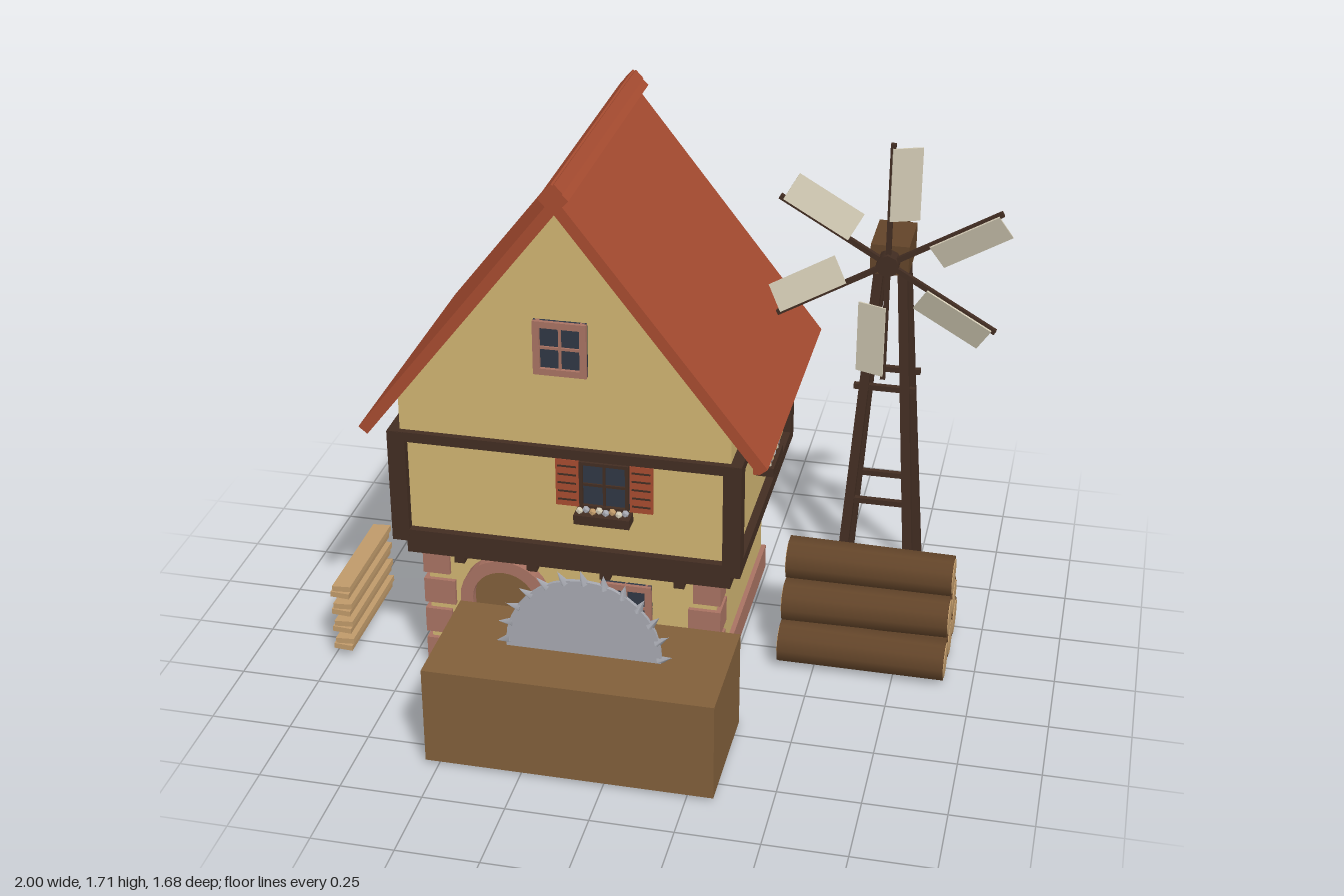
import * as THREE from 'three';

const mat = (name, color) => Object.assign(new THREE.MeshStandardMaterial({ color }), { name });
const M = {
  wall: mat('plaster', 0xcfb471), beam: mat('dark timber', 0x422d22), roof: mat('red tile', 0xa64b30),
  stone: mat('pink stone', 0xa87262), wood: mat('brown wood', 0x815f3a), tan: mat('cut wood', 0xc09a6a),
  sail: mat('canvas', 0xd0c8b2), steel: mat('steel', 0xa6a8b0), glass: mat('dark glass', 0x2f3744),
  bark: mat('bark', 0x624429),
};
const CX = -0.225, CZ = -0.075; // middle of the house

function add(parent, name, geo, material, x = 0, y = 0, z = 0) {
  const m = new THREE.Mesh(geo, material);
  m.name = name;
  m.position.set(x, y, z);
  parent.add(m);
  return m;
}
// box given by its lower and upper corners
function span(parent, name, material, x0, x1, y0, y1, z0, z1) {
  return add(parent, name, new THREE.BoxGeometry(x1 - x0, y1 - y0, z1 - z0), material,
    (x0 + x1) / 2, (y0 + y1) / 2, (z0 + z1) / 2);
}
// square bar between two points
function bar(parent, name, material, a, b, t) {
  const A = new THREE.Vector3(...a), B = new THREE.Vector3(...b);
  const m = add(parent, name, new THREE.BoxGeometry(t, A.distanceTo(B), t), material);
  m.position.copy(A).lerp(B, 0.5);
  m.quaternion.setFromUnitVectors(new THREE.Vector3(0, 1, 0), B.sub(A).normalize());
  return m;
}
function extrude(points, z0, z1) {
  const g = new THREE.ExtrudeGeometry(new THREE.Shape(points.map(p => new THREE.Vector2(...p))),
    { depth: z1 - z0, bevelEnabled: false });
  return g.translate(0, 0, z0);
}
function group(parent, name, x = 0, y = 0, z = 0, ry = 0) {
  const g = new THREE.Group();
  g.name = name;
  g.position.set(x, y, z);
  g.rotation.y = ry;
  parent.add(g);
  return g;
}

// four-pane window facing +z, centred on the wall surface
function paned(g, w, h, frame, t) {
  span(g, 'glass', M.glass, -w / 2, w / 2, -h / 2, h / 2, 0, 0.008);
  for (const s of [-1, 1]) {
    add(g, 'windowJamb', new THREE.BoxGeometry(t, h, 0.02), frame, s * (w - t) / 2, 0, 0.01);
    add(g, 'windowRail', new THREE.BoxGeometry(w, t, 0.02), frame, 0, s * (h - t) / 2, 0.01);
  }
  span(g, 'mullion', frame, -0.004, 0.004, -h / 2, h / 2, 0, 0.014);
  span(g, 'mullion', frame, -w / 2, w / 2, -0.004, 0.004, 0, 0.014);
}
function shutterWindow(parent, x, z, ry) {
  const g = group(parent, 'shutterWindow', x, 0.745, z, ry);
  paned(g, 0.15, 0.155, M.beam, 0.01);
  for (const s of [-1, 1]) {
    add(g, 'shutter', new THREE.BoxGeometry(0.07, 0.155, 0.012), M.roof, s * 0.113, 0, 0.008);
    for (let i = 0; i < 5; i++)
      add(g, 'shutterGap', new THREE.BoxGeometry(0.056, 0.005, 0.004), M.beam, s * 0.113, -0.056 + i * 0.028, 0.015);
  }
  span(g, 'flowerBox', M.beam, -0.085, 0.085, -0.115, -0.085, 0, 0.055);
  for (let i = 0; i < 8; i++)
    add(g, 'flower', new THREE.IcosahedronGeometry(0.012, 0), [M.sail, M.steel, M.tan][i % 3],
      -0.07 + i * 0.02, -0.078 + (i % 2) * 0.006, 0.035);
}

function buildHouse(root) {
  const h = group(root, 'house');
  // ground floor
  span(h, 'plinth', M.stone, -0.695, 0.245, 0.015, 0.1, -0.465, 0.318);
  span(h, 'groundFloorWall', M.wall, -0.68, 0.23, 0.05, 0.45, -0.453, 0.312);
  for (const s of [-1, 1]) for (let i = 0; i < 4; i++) {
    const a = CX + s * 0.47, w = i % 2 ? 0.085 : 0.1, y = 0.017 + i * 0.108;
    span(h, 'cornerStone', M.stone, Math.min(a, a - s * w), Math.max(a, a - s * w), y, y + 0.085, 0.325 - w, 0.326);
  }
  // arched door and step
  const arch = new THREE.Shape().moveTo(-0.14, 0).lineTo(-0.14, 0.27).absarc(0, 0.27, 0.14, Math.PI, 0, true)
    .lineTo(0.14, 0).lineTo(0.1, 0).lineTo(0.1, 0.27).absarc(0, 0.27, 0.1, 0, Math.PI, false).lineTo(-0.1, 0);
  add(h, 'doorArch', new THREE.ExtrudeGeometry(arch, { depth: 0.04, bevelEnabled: false, curveSegments: 8 }),
    M.stone, -0.43, 0.015, 0.31);
  const door = new THREE.Shape().moveTo(-0.1, 0).lineTo(0.1, 0).lineTo(0.1, 0.27).absarc(0, 0.27, 0.1, 0, Math.PI, false);
  add(h, 'door', new THREE.ExtrudeGeometry(door, { depth: 0.01, bevelEnabled: false, curveSegments: 8 }),
    M.wood, -0.43, 0.015, 0.31);
  span(h, 'doorStep', M.stone, -0.585, -0.27, 0.015, 0.05, 0.31, 0.435);
  paned(group(h, 'groundWindow', -0.05, 0.3, 0.312), 0.16, 0.16, M.stone, 0.02);

  // jetty with joist ends
  span(h, 'jetty', M.beam, -0.73, 0.28, 0.43, 0.49, -0.51, 0.36);
  for (let i = 0; i < 4; i++) {
    const z = 0.245 - i * 0.215, x = CX - 0.345 + i * 0.23;
    span(h, 'sideJoist', M.beam, -0.715, 0.265, 0.4, 0.432, z - 0.016, z + 0.016);
    span(h, 'crossJoist', M.beam, x - 0.016, x + 0.016, 0.4, 0.432, -0.495, 0.345);
  }
  // timber-framed upper floor
  span(h, 'upperFloorWall', M.wall, -0.74, 0.29, 0.487, 0.857, -0.515, 0.365);
  for (const [y0, y1] of [[0.487, 0.527], [0.83, 0.862]]) {
    for (const s of [-1, 1]) {
      add(h, 'frameBeam', new THREE.BoxGeometry(1.08, y1 - y0, 0.05), M.beam, CX, (y0 + y1) / 2, CZ + s * 0.44);
      add(h, 'frameBeam', new THREE.BoxGeometry(0.05, y1 - y0, 0.93), M.beam, CX + s * 0.515, (y0 + y1) / 2, CZ);
    }
  }
  for (const sx of [-1, 1]) for (const sz of [-1, 1])
    add(h, 'cornerPost', new THREE.BoxGeometry(0.055, 0.372, 0.055), M.beam, CX + sx * 0.513, 0.674, CZ + sz * 0.438);
  shutterWindow(h, -0.1, 0.365, 0);
  shutterWindow(h, -0.1, -0.515, Math.PI);
  shutterWindow(h, 0.29, CZ, Math.PI / 2);
  shutterWindow(h, -0.74, CZ, -Math.PI / 2);

  // gable storey and roof
  add(h, 'gable', extrude([[-0.505, 0.86], [0.505, 0.86], [0.505, 0.965], [0, 1.61], [-0.505, 0.965]], -0.52, 0.37), M.wall, CX);
  paned(group(h, 'gableWindow', CX, 1.185, 0.37), 0.16, 0.17, M.stone, 0.02);
  paned(group(h, 'gableWindow', CX, 1.185, -0.52, Math.PI), 0.16, 0.17, M.stone, 0.02);
  add(h, 'roof', extrude([[0.62, 0.877], [0, 1.668], [-0.62, 0.877], [-0.593, 0.855], [0, 1.612], [0.593, 0.855]],
    -0.56, 0.41), M.roof, CX);
  for (const s of [-1, 1])
    add(h, 'ridgeCap', new THREE.BoxGeometry(0.068, 0.036, 0.99), M.roof, CX + s * 0.008, 1.672, CZ).rotation.z = -s * 0.75;
}

function buildSawTable(root) {
  const g = group(root, 'sawTable');
  span(g, 'tableBlock', M.wood, -0.54, 0.33, 0.015, 0.33, 0.445, 0.837);
  const saw = group(g, 'saw', -0.1, 0.345, 0.645);
  add(saw, 'sawBlade', new THREE.CylinderGeometry(0.235, 0.235, 0.012, 32).rotateX(Math.PI / 2), M.steel);
  for (let i = 0; i < 13; i++) {
    const a = i * Math.PI / 12;
    const t = add(saw, 'sawTooth', new THREE.ConeGeometry(0.016, 0.045, 4), M.steel,
      Math.cos(a) * 0.245, Math.sin(a) * 0.245, 0);
    t.rotation.z = a - Math.PI / 2 + 0.3;
  }
}

function buildLogs(root) {
  const g = group(root, 'logPile');
  [3, 2, 1].forEach((n, row) => {
    for (let i = 0; i < n; i++) {
      const log = group(g, 'log', 0.648, 0.072 + row * 0.114, CZ + 0.13 * ((n - 1) / 2 - i));
      log.rotation.z = ((i + row) % 2 ? 1 : -1) * 0.008;
      add(log, 'bark', new THREE.CylinderGeometry(0.067, 0.07, 0.522, 10).rotateZ(-Math.PI / 2), M.bark);
      add(log, 'logEnds', new THREE.CylinderGeometry(0.057, 0.057, 0.528, 10).rotateZ(-Math.PI / 2), M.tan);
    }
  });
}

function buildPlanks(root) {
  const g = group(root, 'plankStack');
  for (let i = 0; i < 8; i++) {
    const s = i % 2 ? 1 : -1;
    const p = add(g, 'plank', new THREE.BoxGeometry(0.06, 0.018, 0.395), M.tan, -0.963 + s * 0.006, 0.04 + i * 0.032, 0.16 + s * 0.006);
    p.rotation.z = s * 0.06;
  }
}

function buildWindmill(root) {
  const g = group(root, 'windmill');
  const X = 0.627, Z = -0.473;
  for (const sz of [-1, 1]) {
    for (const sx of [-1, 1])
      bar(g, 'leg', M.beam, [X + sx * 0.118, 0.015, Z + sz * 0.117], [X + sx * 0.035, 1.2, Z + sz * 0.046], 0.03);
    for (const [y, w] of [[0.365, 0.108], [0.767, 0.098]]) {
      const z = Z + sz * (0.117 - 0.06 * y);
      bar(g, 'crossBar', M.beam, [X - w, y, z], [X + w, y, z], 0.018);
    }
  }
  span(g, 'head', M.bark, 0.567, 0.687, 1.175, 1.272, -0.572, -0.37);
  span(g, 'tailBoard', M.beam, X - 0.007, X + 0.007, 1.15, 1.262, -0.755, -0.572);
  span(g, 'tailVane', M.bark, X - 0.009, X + 0.009, 1.158, 1.292, -0.84, -0.705);
  add(g, 'hub', new THREE.CylinderGeometry(0.036, 0.036, 0.06, 8).rotateX(Math.PI / 2), M.beam, X, 1.225, -0.345);
  // six arms, each with a pitched sail
  for (let i = 0; i < 6; i++) {
    const a = group(g, 'sailArm', X, 1.225, -0.337);
    a.rotation.z = i * Math.PI / 3;
    span(a, 'arm', M.beam, -0.008, 0.008, 0, 0.393, -0.008, 0.008);
    const pitch = group(a, 'sailPitch', 0, 0, 0, 0.36);
    span(pitch, 'sail', M.sail, -0.004, 0.09, 0.145, 0.38, 0.008, 0.014);
  }
}

export function createModel() {
  const root = new THREE.Group();
  root.name = 'sawmill';
  buildHouse(root);
  buildSawTable(root);
  buildLogs(root);
  buildPlanks(root);
  buildWindmill(root);
  return root;
}
